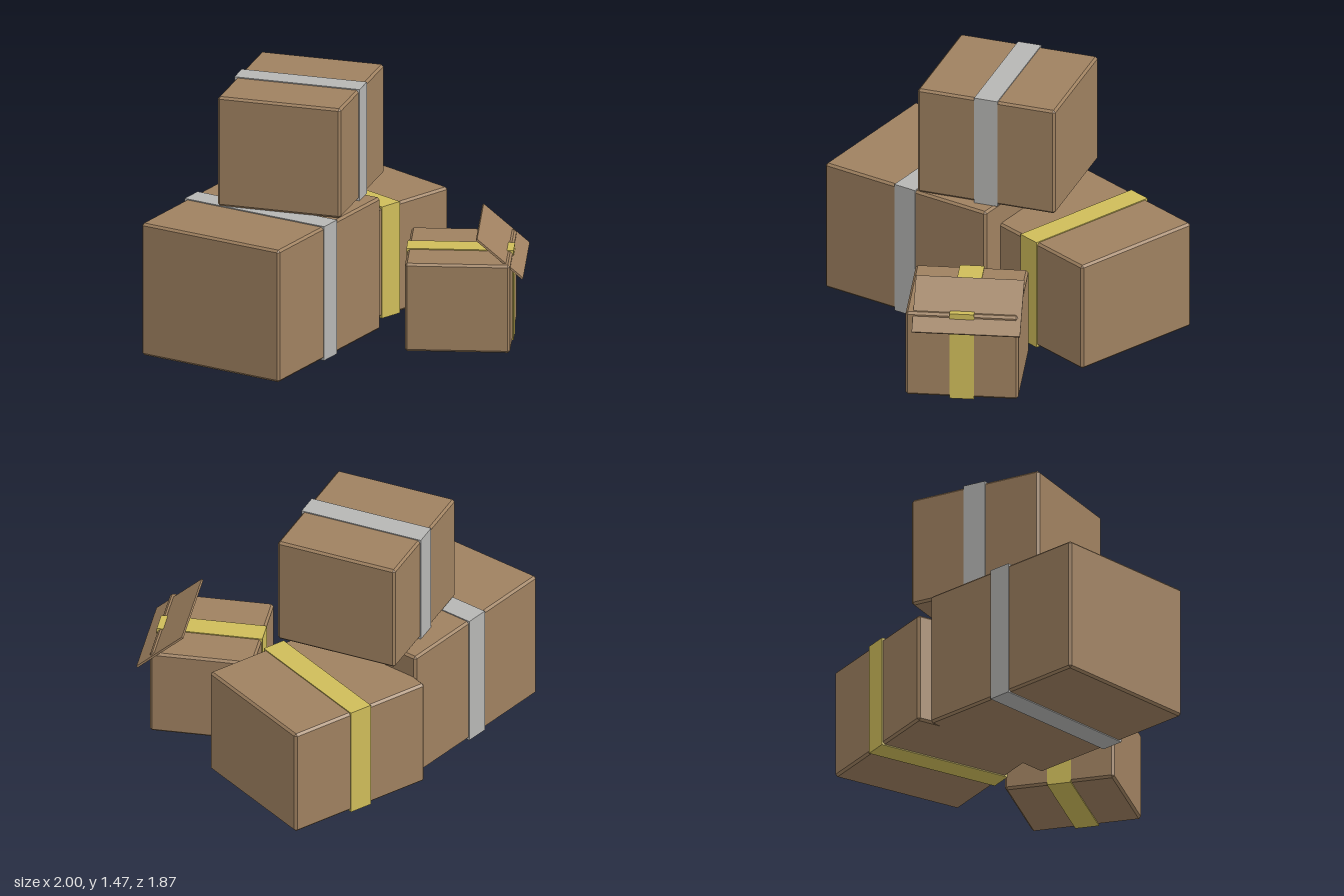
import * as THREE from 'three';
import { ConvexGeometry } from 'three/addons/geometries/ConvexGeometry.js';

const BEVEL = 0.013, TAPE_WIDTH = 0.14, TAPE_THICK = 0.006;

function material(name, color) {
  const m = new THREE.MeshStandardMaterial({ color });
  m.name = name;
  return m;
}

// Box with flat chamfered edges, centred on the origin
function chamferedBox(w, h, d, c) {
  const pts = [];
  for (const x of [-w / 2, w / 2]) for (const y of [-h / 2, h / 2]) for (const z of [-d / 2, d / 2]) {
    const sx = Math.sign(x) * c, sy = Math.sign(y) * c, sz = Math.sign(z) * c;
    pts.push(new THREE.Vector3(x, y - sy, z - sz));
    pts.push(new THREE.Vector3(x - sx, y, z - sz));
    pts.push(new THREE.Vector3(x - sx, y - sy, z));
  }
  return new ConvexGeometry(pts);
}

// Closed band running over the top, front, bottom and back of a box
function tapeBand(h, d) {
  const a = d / 2 + TAPE_THICK, b = h / 2 + TAPE_THICK;
  const shape = new THREE.Shape([[-a, -b], [a, -b], [a, b], [-a, b]].map(p => new THREE.Vector2(...p)));
  const i = d / 2, j = h / 2, c = BEVEL;
  shape.holes.push(new THREE.Path([
    [-i, -j + c], [-i, j - c], [-i + c, j], [i - c, j],
    [i, j - c], [i, -j + c], [i - c, -j], [-i + c, -j],
  ].map(p => new THREE.Vector2(...p))));
  const g = new THREE.ExtrudeGeometry(shape, { depth: TAPE_WIDTH, bevelEnabled: false });
  return g.translate(0, 0, -TAPE_WIDTH / 2).rotateY(Math.PI / 2);
}

export function createModel() {
  const cardboard = material('cardboard', 0x9f8160);
  const greyTape = material('greyTape', 0xb6b6b4);
  const yellowTape = material('yellowTape', 0xcfbd5a);
  const model = new THREE.Group();
  model.name = 'boxStack';

  function addMesh(parent, name, geometry, mat) {
    const mesh = new THREE.Mesh(geometry, mat);
    mesh.name = name;
    parent.add(mesh);
    return mesh;
  }

  // One taped carton: footprint centre, size, base height and turn
  function carton(name, x, z, w, d, y0, y1, turn, tape) {
    const h = y1 - y0;
    const group = new THREE.Group();
    group.name = name;
    group.position.set(x, (y0 + y1) / 2, z);
    group.rotation.y = turn;
    addMesh(group, 'cartonBody', chamferedBox(w, h, d, BEVEL), cardboard);
    addMesh(group, 'tapeBand', tapeBand(h, d), tape);
    model.add(group);
    return group;
  }

  carton('largeCarton', -0.41, -0.352, 1.1, 0.92, 0.006, 0.799, 0.1, greyTape);
  carton('rightCarton', 0.481, -0.466, 0.911, 0.825, 0.006, 0.664, -0.16, yellowTape);
  carton('topCarton', -0.007, -0.376, 0.83, 0.733, 0.806, 1.463, 0.35, greyTape);
  const small = carton('smallCarton', 0.39, 0.465, 0.643, 0.598, 0.006, 0.533, 0.593, yellowTape);

  // Loose lid flap tilted across the small carton's front edge
  const flap = addMesh(small, 'lidFlap', new THREE.BoxGeometry(0.618, 0.012, 0.347), cardboard);
  flap.position.set(0.03, 0.557 - small.position.y, 0.237);
  flap.rotation.x = THREE.MathUtils.degToRad(41);

  return model;
}
